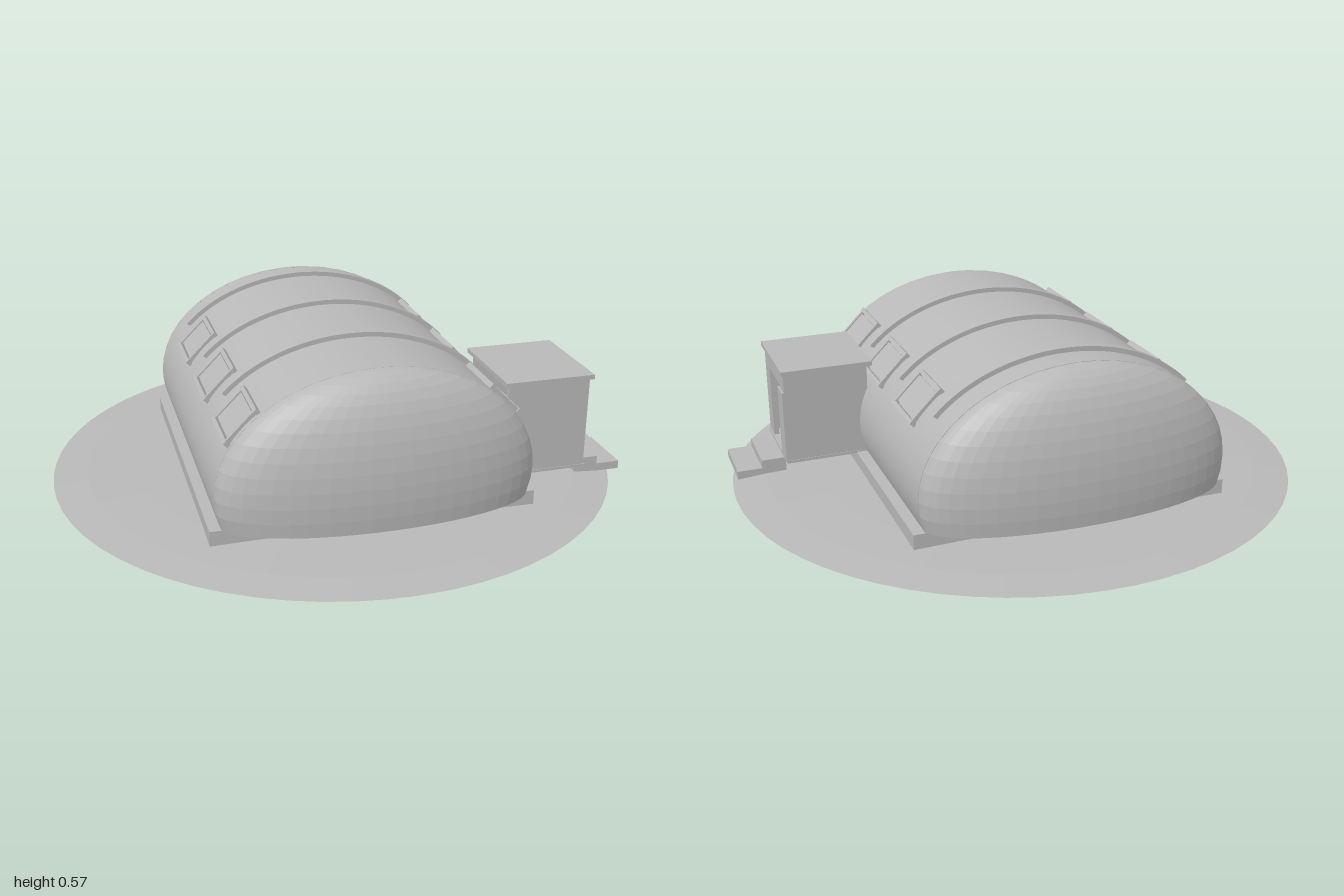
import * as THREE from 'three';
import { toCreasedNormals } from 'three/addons/utils/BufferGeometryUtils.js';

const A = 0.532, B = 0.388, CY = 0.17; // half width, half height and centre height of the hall section

export function createModel() {
  const model = new THREE.Group();
  const grey = new THREE.MeshStandardMaterial({ color: 0xb8b8b8 });
  grey.name = 'grey';
  const greyFlat = new THREE.MeshStandardMaterial({ color: 0xb8b8b8, flatShading: true, side: THREE.DoubleSide });
  greyFlat.name = 'grey faceted';

  const add = (name, geo, parent = model, mat = grey) => {
    const mesh = new THREE.Mesh(geo, mat);
    mesh.name = name;
    parent.add(mesh);
    return mesh;
  };
  // box given by its limits on each axis
  const box = (name, [x0, x1], [y0, y1], [z0, z1], parent = model) => {
    const m = add(name, new THREE.BoxGeometry(x1 - x0, y1 - y0, z1 - z0), parent);
    m.position.set((x0 + x1) / 2, (y0 + y1) / 2, (z0 + z1) / 2);
    return m;
  };
  // elliptical arch of given thickness, from angle a0 to its mirror, between z0 and z1
  const arch = (name, grow, thick, a0, z0, z1) => {
    const s = new THREE.Shape();
    s.absellipse(0, CY, A + grow, B + grow, a0, Math.PI - a0, false, 0);
    s.absellipse(0, CY, A + grow - thick, B + grow - thick, Math.PI - a0, a0, true, 0);
    const g = new THREE.ExtrudeGeometry(s, { depth: z1 - z0, bevelEnabled: false, curveSegments: 48 });
    g.translate(0, 0, z0);
    return add(name, toCreasedNormals(g, 0.5));
  };

  // low ground mound
  const mound = [[0, 0], [1, 0], [0.88, 0.009], [0.7, 0.013], [0, 0.015]].map(p => new THREE.Vector2(...p));
  add('ground', new THREE.LatheGeometry(mound, 64), model, greyFlat);

  // foundation and hall shell
  box('foundation', [-0.55, 0.55], [0.005, 0.062], [-0.572, 0.572]);
  arch('shell', 0, 0.015, -0.28, -0.572, 0.572);
  for (const z of [-0.46, -0.095, 0.27]) arch('rib', 0.016, 0.025, 0.62, z - 0.015, z + 0.015);

  // rounded ends
  for (const turn of [0, Math.PI]) {
    const end = add('endDome', new THREE.SphereGeometry(1, 24, 14, 0, Math.PI, 0, Math.PI / 2 + 0.25), model, greyFlat);
    end.scale.set(A, B, 0.168);
    end.rotation.y = turn;
    end.position.set(0, CY, turn ? -0.574 : 0.572);
  }

  // windows on both slopes
  for (const s of [1, -1]) for (const z of [-0.275, 0.09, 0.455]) {
    const win = new THREE.Group();
    win.name = 'window';
    box('pane', [-0.055, 0.055], [-0.004, 0.005], [-0.09, 0.09], win);
    for (const e of [-1, 1]) {
      const rail = box('frameRail', [-0.007, 0.007], [-0.016, 0.012], [-0.105, 0.105], win);
      rail.position.x = e * 0.068;
      const stile = box('frameStile', [-0.068, 0.068], [-0.01, 0.01], [-0.006, 0.006], win);
      stile.position.z = e * 0.093;
    }
    win.position.set(s * 0.433, 0.396, z);
    win.rotation.z = -s * Math.PI / 4;
    model.add(win);
  }

  // entrance porch
  const porch = new THREE.Group();
  porch.name = 'porch';
  model.add(porch);
  box('porchFloor', [0.5, 0.8], [0.058, 0.068], [0.11, 0.44], porch);
  box('porchRoof', [0.485, 0.805], [0.39, 0.406], [0.09, 0.452], porch);
  box('frontWall', [0.5, 0.795], [0.065, 0.39], [0.42, 0.438], porch);
  box('backWall', [0.5, 0.795], [0.065, 0.39], [0.112, 0.13], porch);
  box('frontPost', [0.777, 0.795], [0.065, 0.39], [0.365, 0.42], porch);
  box('backPost', [0.777, 0.795], [0.065, 0.39], [0.13, 0.185], porch);
  box('lintel', [0.777, 0.795], [0.33, 0.39], [0.185, 0.365], porch);
  box('openDoor', [0.795, 0.802], [0.068, 0.322], [0.11, 0.19], porch);
  box('innerDoor', [0.525, 0.545], [0.065, 0.305], [0.28, 0.37], porch);
  const bin = add('bin', new THREE.CylinderGeometry(0.03, 0.03, 0.065, 16), porch);
  bin.position.set(0.66, 0.1, 0.27);

  // entrance steps
  box('upperStep', [0.795, 0.88], [0.03, 0.06], [0.165, 0.38]);
  box('lowerStep', [0.795, 0.967], [0.002, 0.031], [0.165, 0.38]);

  return model;
}
